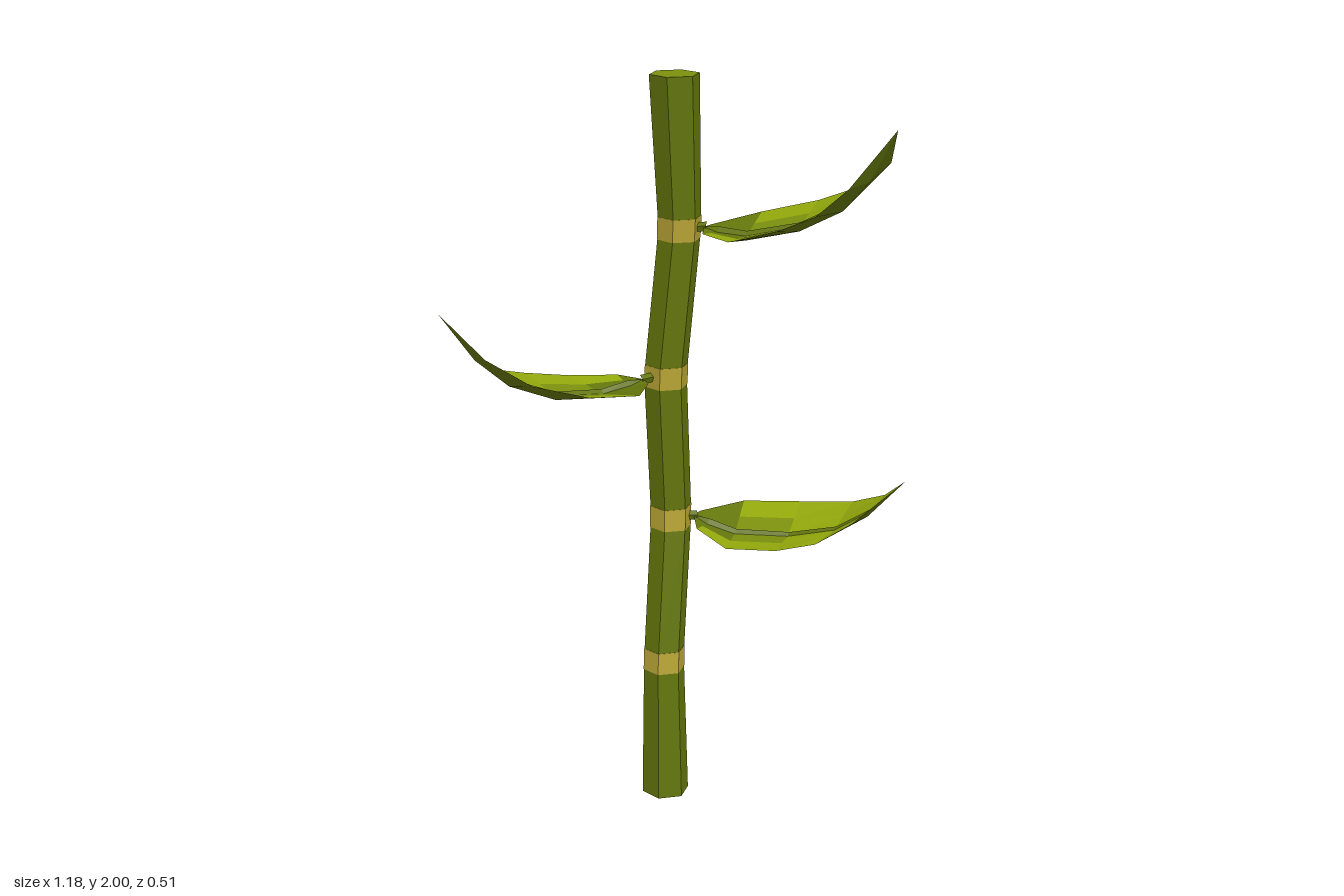
import * as THREE from 'three';

const material = (name, color) => {
  const m = new THREE.MeshStandardMaterial({ color, flatShading: true });
  m.name = name;
  return m;
};

// Stem joints: height, centre x, centre z, radius
const JOINTS = [
  [0, 0.013, -0.147, 0.065], [0.4, 0.01, -0.15, 0.056], [0.8, 0.04, -0.19, 0.056],
  [1.2, 0.022, -0.18, 0.058], [1.6, 0.055, -0.157, 0.057], [2, 0.034, -0.132, 0.066],
];
const BAND = 0.03;

// One leaf growing along +x from its base: left edge, midrib and right edge
const TIP = [0.54, 0.3, 0];
const LEFT = [[0.04, 0, 0.075], [0.15, 0.005, 0.14], [0.28, 0.045, 0.132], [0.37, 0.085, 0.097], [0.44, 0.155, 0.056]];
const MID = [[0.046, -0.008, 0], [0.124, -0.01, -0.004], [0.263, 0.025, -0.028], [0.384, 0.09, -0.024], [0.463, 0.175, -0.012]];
const RIGHT = [[0.004, 0, -0.04], [0.085, 0.02, -0.157], [0.232, 0.06, -0.191], [0.378, 0.12, -0.171], [0.472, 0.195, -0.113]];

// Where each leaf grows and how it is turned
const LEAVES = [
  { name: 'lowerLeaf', joint: 2, base: [0.1, 0.797, -0.18], roll: 0, yaw: -0.625, pitch: -0.218 },
  { name: 'middleLeaf', joint: 3, base: [-0.045, 1.2, -0.15], roll: -0.02, yaw: 3.363, pitch: -0.1 },
  { name: 'upperLeaf', joint: 4, base: [0.11, 1.605, -0.125], roll: 0, yaw: -0.773, pitch: 0 },
];

// Stem centre and radius at a given height
function stemAt(y) {
  const i = Math.max(0, JOINTS.findIndex((j) => y <= j[0] + 1e-6) - 1);
  const a = JOINTS[i], b = JOINTS[i + 1];
  const t = (y - a[0]) / (b[0] - a[0]);
  return [1, 2, 3].map((k) => a[k] + (b[k] - a[k]) * t);
}

// Six-sided tube between two heights, leaning with the stem
function stemPiece(name, y0, y1, mat, swell = 0) {
  const [x0, z0, r0] = stemAt(y0), [x1, z1, r1] = stemAt(y1);
  const geo = new THREE.CylinderGeometry(r1 + swell, r0 + swell, y1 - y0, 6, 1, false, Math.PI / 6);
  const p = geo.attributes.position;
  for (let i = 0; i < p.count; i++) {
    const top = p.getY(i) > 0;
    p.setXYZ(i, p.getX(i) + (top ? x1 : x0), top ? y1 : y0, p.getZ(i) + (top ? z1 : z0));
  }
  geo.computeVertexNormals();
  const mesh = new THREE.Mesh(geo, mat);
  mesh.name = name;
  return mesh;
}

// Triangles between neighbouring columns of points, for rows from..to
function addStrip(out, a, b, from, to, flip = false) {
  for (let i = from; i < to; i++) {
    for (const t of [[a[i], a[i + 1], b[i + 1]], [a[i], b[i + 1], b[i]]]) {
      if (t[0] === t[1] || t[1] === t[2] || t[0] === t[2]) continue;
      for (const v of flip ? [t[0], t[2], t[1]] : t) out.push(v.x, v.y, v.z);
    }
  }
}

function sheet(name, points, mat) {
  const geo = new THREE.BufferGeometry();
  geo.setAttribute('position', new THREE.Float32BufferAttribute(points, 3));
  geo.computeVertexNormals();
  const mesh = new THREE.Mesh(geo, mat);
  mesh.name = name;
  return mesh;
}

function buildLeaf({ name, base, roll, yaw, pitch }, mats) {
  const group = new THREE.Group();
  group.name = name;
  const root = new THREE.Vector3(), tip = new THREE.Vector3(...TIP);
  const column = (pts) => [root, ...pts.map((p) => new THREE.Vector3(...p)), tip];
  const left = column(LEFT), mid = column(MID), right = column(RIGHT);
  const last = mid.length - 1;
  const inner = (fn) => mid.map((m, i) => (i === 0 || i === last ? m : fn(m, i)));
  const halfway = (side) => inner((m, i) => m.clone().lerp(side[i], 0.5));
  const innerLeft = halfway(left), innerRight = halfway(right);

  // Upper face: dark at the root, fading to bright along the midrib
  const dark = [], middle = [], bright = [];
  addStrip(dark, left, innerLeft, 0, 1);
  addStrip(dark, innerLeft, mid, 0, 2);
  addStrip(dark, mid, innerRight, 0, 2);
  addStrip(dark, innerRight, right, 0, 2);
  addStrip(middle, innerLeft, mid, 2, 3);
  addStrip(middle, mid, innerRight, 2, 3);
  addStrip(bright, left, innerLeft, 1, last);
  addStrip(bright, innerLeft, mid, 3, last);
  addStrip(bright, mid, innerRight, 3, last);
  addStrip(bright, innerRight, right, 2, last);
  group.add(
    sheet('leafRoot', dark, mats.stem),
    sheet('leafHeart', middle, mats.cut),
    sheet('leafBlade', bright, mats.leaf),
  );

  // Underside with a shallow keel
  const keel = inner((m) => m.clone().setY(m.y - 0.012));
  const under = [];
  addStrip(under, left, keel, 0, last, true);
  addStrip(under, keel, right, 0, last, true);
  group.add(sheet('leafUnderside', under, mats.stem));

  // Raised tapering midrib
  const width = (i) => 0.012 * (1 - i / (last + 1));
  const toward = (side) => inner((m, i) =>
    m.clone().add(side[i].clone().sub(m).setLength(width(i))));
  const ridge = inner((m, i) => m.clone().setY(m.y + 0.004 + width(i)));
  const rib = [];
  addStrip(rib, toward(left), ridge, 0, last - 1);
  addStrip(rib, ridge, toward(right), 0, last - 1);
  group.add(sheet('midrib', rib, mats.stem));

  group.position.set(...base);
  group.rotation.set(roll, yaw, pitch, 'YZX');
  return group;
}

// Short stalk from the stem joint to the leaf base
function buildStalk({ joint, base }, mat) {
  const [y, x, z] = JOINTS[joint];
  const start = new THREE.Vector3(x, y, z);
  const end = start.clone().lerp(new THREE.Vector3(...base), 1.15);
  const stalk = new THREE.Mesh(new THREE.TubeGeometry(new THREE.LineCurve3(start, end), 1, 0.013, 5), mat);
  stalk.name = 'stalk';
  return stalk;
}

export function createModel() {
  const mats = {
    stem: material('stem green', 0x64760c),
    cut: material('mid green', 0x7c900e),
    band: material('joint tan', 0xbaa636),
    leaf: material('leaf green', 0x94aa0c),
  };
  const model = new THREE.Group();
  model.name = 'jointedPlant';

  // Stem segments with lighter cut ends and a tan band at every inner joint
  const last = JOINTS.length - 1;
  for (let i = 0; i < last; i++) {
    const y0 = JOINTS[i][0] + (i > 0 ? BAND : 0);
    const y1 = JOINTS[i + 1][0] - (i + 1 < last ? BAND : 0);
    model.add(stemPiece('stemSegment', y0, y1, [mats.stem, mats.cut, mats.cut]));
    if (i > 0) model.add(stemPiece('jointBand', JOINTS[i][0] - BAND, y0, mats.band, 0.001));
  }

  for (const spec of LEAVES) model.add(buildLeaf(spec, mats), buildStalk(spec, mats.stem));
  return model;
}
